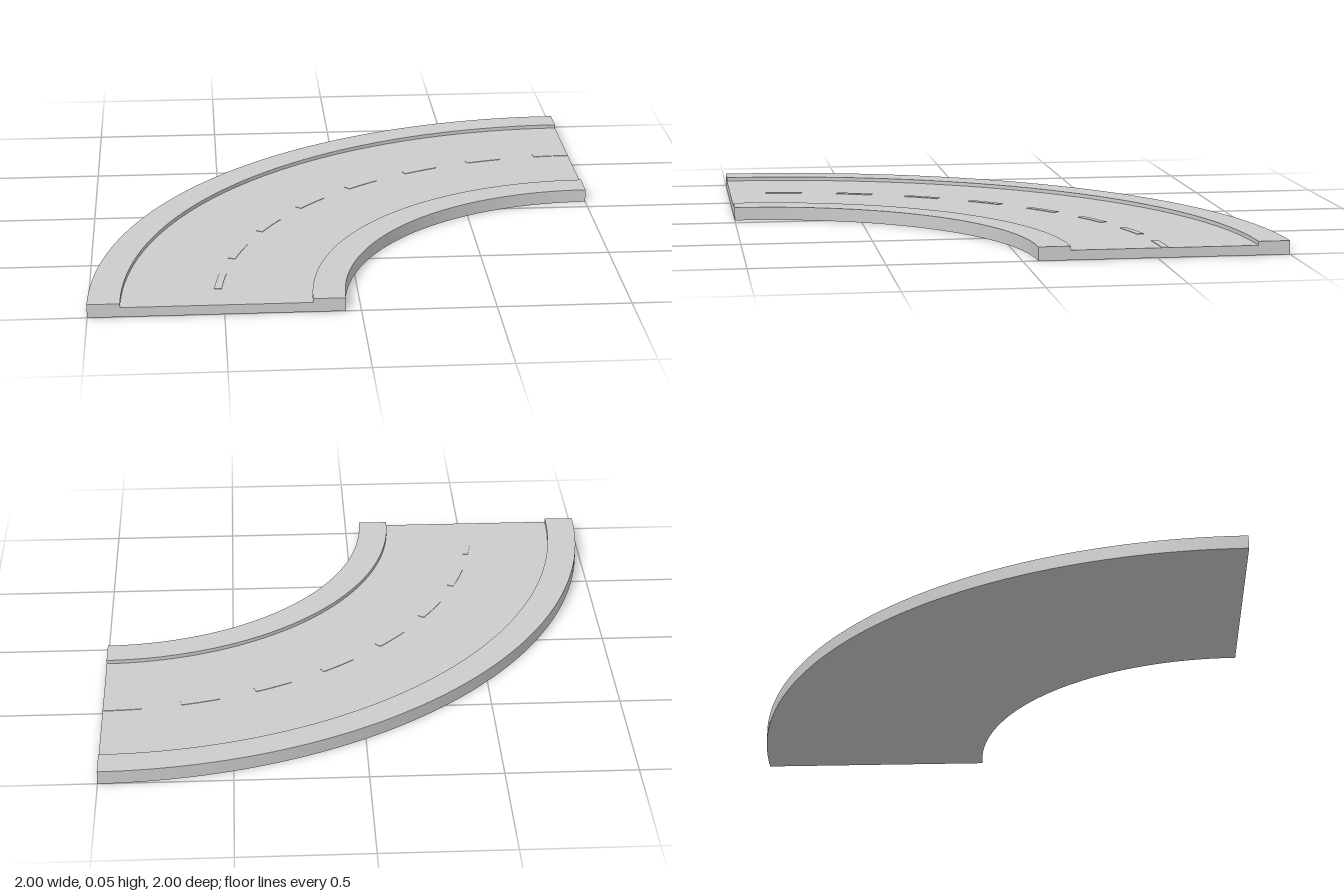
import * as THREE from 'three';
import { toCreasedNormals } from 'three/addons/utils/BufferGeometryUtils.js';

const material = new THREE.MeshStandardMaterial({ color: 0xcccccc });
const capMaterial = new THREE.MeshStandardMaterial({ color: 0xcccccc, side: THREE.DoubleSide });

const INNER = 1.057, OUTER = 2, CURB = 0.12;
const ROAD_Y = 0.037, CURB_Y = 0.052;

// Sweeps a closed [radius, height] section around the y axis and caps both ends
function sweep(name, section, start, length, segments) {
  const points = section.map(([r, y]) => new THREE.Vector2(r, y));
  const group = new THREE.Group();
  group.name = name;
  const lathe = new THREE.LatheGeometry([...points, points[0].clone()], segments, start, length);
  const body = new THREE.Mesh(toCreasedNormals(lathe, 0.5), material);
  body.name = name + 'Surface';
  group.add(body);
  for (const angle of [start, start + length]) {
    const cap = new THREE.Mesh(new THREE.ShapeGeometry(new THREE.Shape(points)), capMaterial);
    cap.name = name + 'End';
    cap.rotation.y = angle - Math.PI / 2;
    group.add(cap);
  }
  return group;
}

export function createModel() {
  const model = new THREE.Group();
  model.name = 'roadCurve';

  // Quarter turn about the corner at (1, 1)
  const turn = new THREE.Group();
  turn.name = 'quarterTurn';
  turn.position.set(1, 0, 1);
  model.add(turn);

  // Road bed with a raised curb along each edge
  turn.add(sweep('roadBed', [
    [INNER, 0], [OUTER, 0], [OUTER, CURB_Y], [OUTER - CURB, CURB_Y],
    [OUTER - CURB, ROAD_Y], [INNER + CURB, ROAD_Y], [INNER + CURB, CURB_Y], [INNER, CURB_Y],
  ], Math.PI, Math.PI / 2, 64));

  // Dashed centre line, slightly proud of the road
  const mid = (INNER + OUTER) / 2, half = 0.014, top = ROAD_Y + 0.002;
  const dash = Math.PI / 32;
  for (let i = 0; i < 8; i++) {
    turn.add(sweep('laneDash', [
      [mid - half, ROAD_Y], [mid + half, ROAD_Y], [mid + half, top], [mid - half, top],
    ], Math.PI + 2 * i * dash, dash, 4));
  }
  return model;
}
